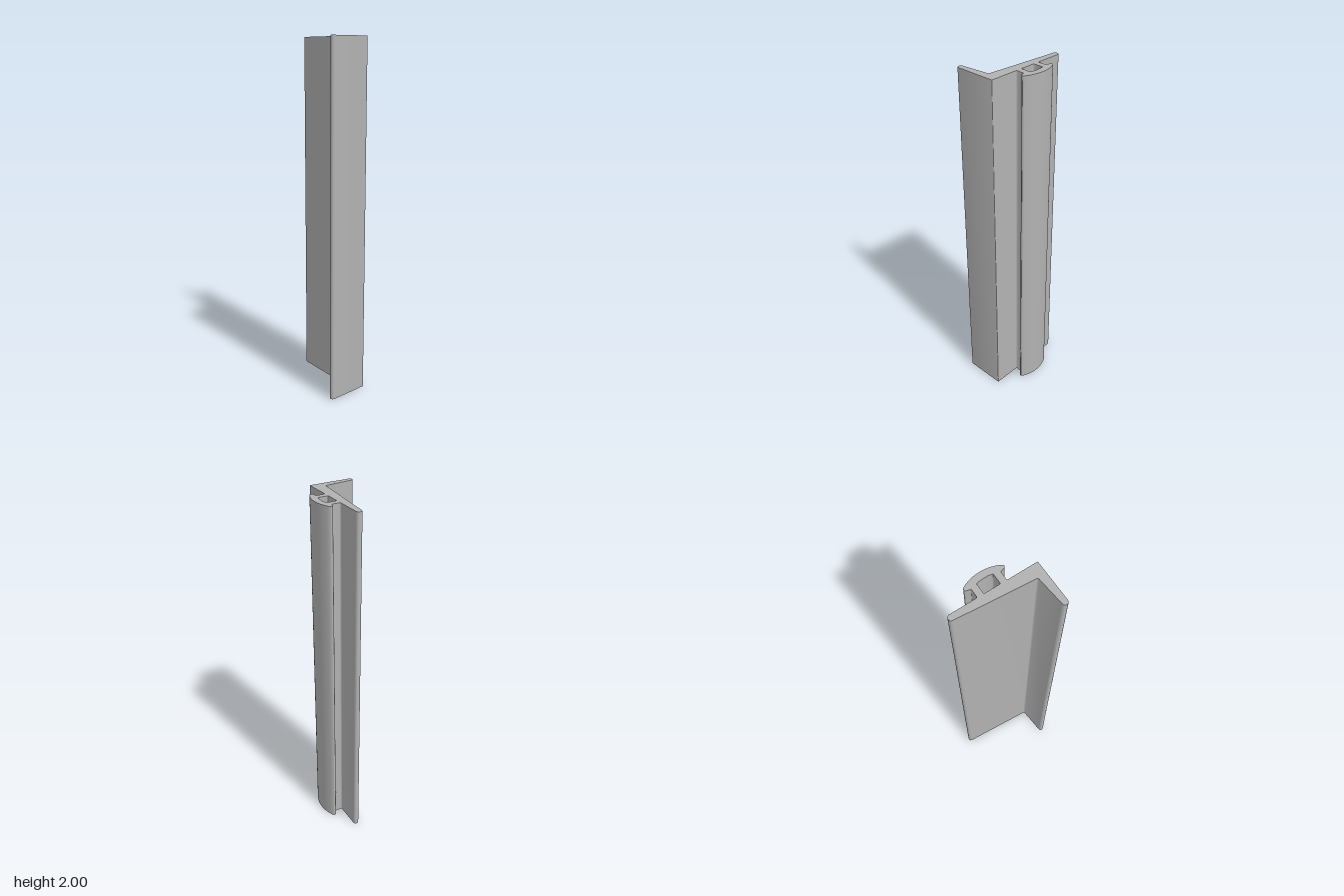
import * as THREE from 'three';
import { toCreasedNormals } from 'three/addons/utils/BufferGeometryUtils.js';

const HEIGHT = 2;
const MID = -0.003; // z of the clip's axis of symmetry
const ARC_X = -0.0435; // x of the centre shared by the clip's curved faces

// Points [x, z] along an arc
function arc(cx, cz, r, from, to, steps) {
  return Array.from({ length: steps + 1 }, (_, i) => {
    const a = from + ((to - from) * i) / steps;
    return [cx + r * Math.cos(a), cz + r * Math.sin(a)];
  });
}

// Closed outline from corners [x, z, radius]; z is flipped for the later rotation
function roundedOutline(corners) {
  const at = (i) => {
    const c = corners[(i + corners.length) % corners.length];
    return new THREE.Vector2(c[0], -c[1]);
  };
  const out = [];
  corners.forEach(([, , r = 0], i) => {
    const p = at(i);
    if (!r) return out.push(p);
    const u = at(i - 1).sub(p).normalize();
    const v = at(i + 1).sub(p).normalize();
    const half = Math.acos(u.dot(v)) / 2;
    const centre = u.clone().add(v).normalize().multiplyScalar(r / Math.sin(half)).add(p);
    const t = r / Math.tan(half);
    const start = u.multiplyScalar(t).add(p).sub(centre).angle();
    const end = v.multiplyScalar(t).add(p).sub(centre).angle();
    const sweep = Math.atan2(Math.sin(end - start), Math.cos(end - start));
    arc(centre.x, centre.y, r, start, start + sweep, 7)
      .forEach(([x, y]) => out.push(new THREE.Vector2(x, y)));
  });
  return out;
}

export function createModel() {
  const grey = new THREE.MeshStandardMaterial({ color: 0xb2b2b2 });
  grey.name = 'grey';

  // Outline: tapered L with a curved clip standing on two webs
  const shape = new THREE.Shape(roundedOutline([
    [-0.174, 0.241, 0.0155], // foot tip
    [0.072, 0.241, 0.004], // heel
    [0.072, 0.075, 0.007], // front web
    [0.1212, 0.075, 0.007],
    ...arc(0.137, MID + 0.097, 0.011, 2.9, 0.493, 10), // front clip lip
    ...arc(ARC_X, MID, 0.2165, 0.493, -0.493, 20).slice(1, -1), // curved clip face
    ...arc(0.137, MID - 0.097, 0.011, -0.493, -2.9, 10), // back clip lip
    [0.1212, -0.081, 0.007], // back web
    [0.072, -0.081, 0.007],
    [0.072, -0.243, 0.015], // long arm tip
    [0.0405, -0.243, 0.015],
    [0.003, 0.1945, 0.009], // inner corner
    [-0.174, 0.211, 0.0155],
  ]));

  // Channel between the webs
  const bow = arc(ARC_X, MID, 0.18, -0.247, 0.247, 4);
  bow[0].push(0.006);
  bow[4].push(0.006);
  shape.holes.push(new THREE.Path(roundedOutline([
    [0.072, 0.041, 0.006],
    [0.072, -0.047, 0.006],
    ...bow,
  ])));

  // Extrude upwards
  const geometry = new THREE.ExtrudeGeometry(shape, { depth: HEIGHT, bevelEnabled: false });
  geometry.rotateX(-Math.PI / 2);
  const strip = new THREE.Mesh(toCreasedNormals(geometry, 0.5), grey);
  strip.name = 'profileStrip';

  const group = new THREE.Group();
  group.name = 'extrudedProfile';
  group.add(strip);
  return group;
}
